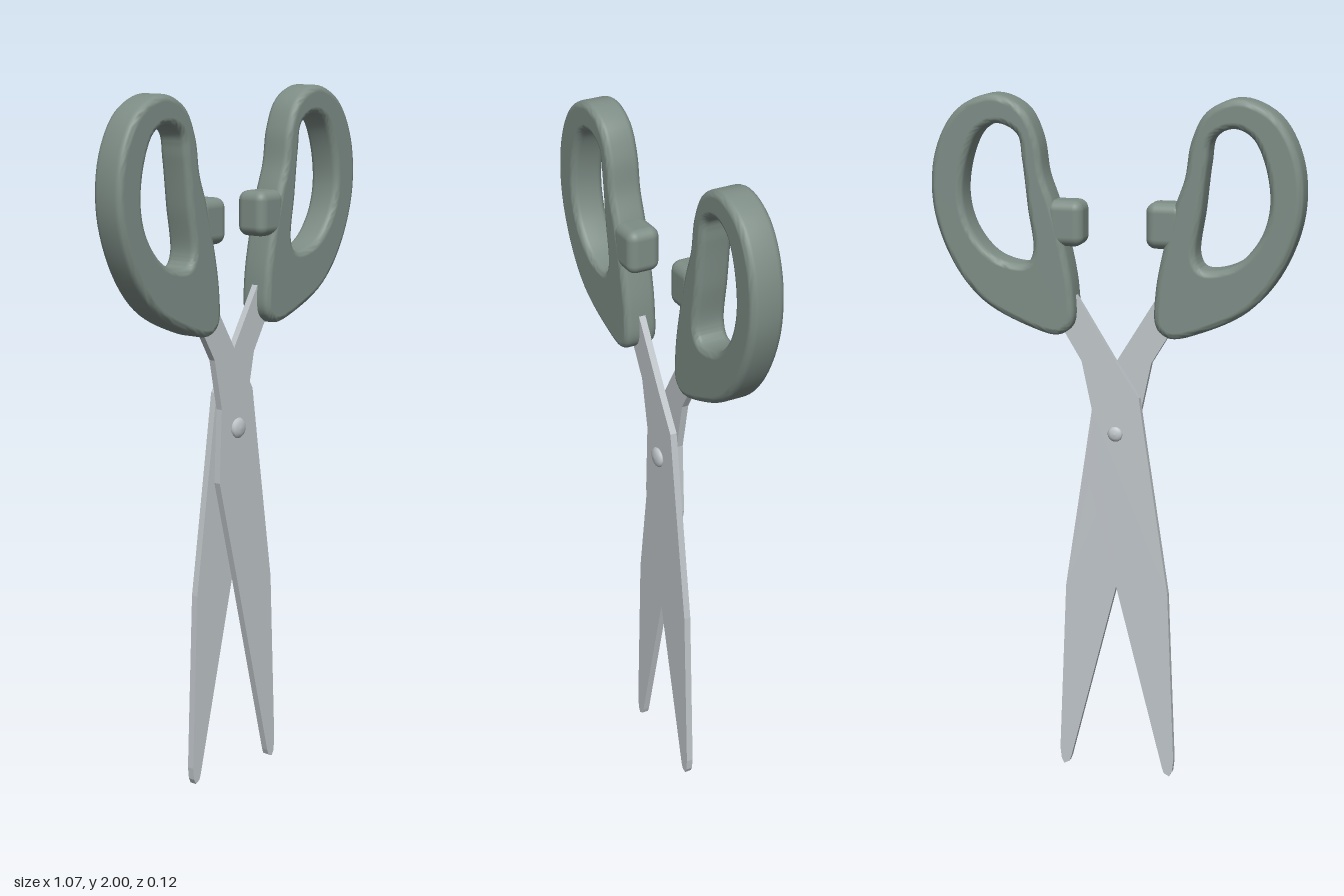
import * as THREE from 'three';
import { toCreasedNormals } from 'three/addons/utils/BufferGeometryUtils.js';
import { RoundedBoxGeometry } from 'three/addons/geometries/RoundedBoxGeometry.js';

const points = (list) => list.map(([x, y]) => new THREE.Vector2(x, y));
// Closed smooth outline through a few points
const smooth = (list) => new THREE.CatmullRomCurve3(list.map(([x, y]) => new THREE.Vector3(x, y, 0)), true)
  .getPoints(90).slice(0, -1).map((p) => new THREE.Vector2(p.x, p.y));

// Handle outline (clockwise) and finger hole (anticlockwise)
const GRIP = [
  [-0.35, 2.0], [-0.26, 1.963], [-0.217, 1.88], [-0.2, 1.78], [-0.172, 1.7], [-0.14, 1.58],
  [-0.117, 1.45], [-0.12, 1.355], [-0.16, 1.325], [-0.254, 1.347], [-0.386, 1.415],
  [-0.476, 1.527], [-0.53, 1.685], [-0.52, 1.84], [-0.455, 1.955],
];
const HOLE = [
  [-0.335, 1.918], [-0.386, 1.897], [-0.423, 1.828], [-0.44, 1.71], [-0.413, 1.616], [-0.345, 1.543],
  [-0.254, 1.527], [-0.234, 1.56], [-0.249, 1.69], [-0.264, 1.82], [-0.278, 1.89],
];
// Blade with its tang, which runs up into the handle
const BLADE = [
  [-0.2, 1.44], [-0.148, 1.325], [-0.1, 1.246], [-0.069, 1.1], [-0.079, 0.886], [0, 0.585],
  [0.143, 0.024], [0.149, 0.008], [0.165, 0], [0.173, 0.015], [0.177, 0.05], [0.156, 0.565],
  [0.095, 0.97], [0.069, 1.146], [0, 1.25], [-0.115, 1.435], [-0.16, 1.5],
];
const GRIP_DEPTH = 0.1;
const GRIP_Z = 0.011;

function gripGeometry() {
  const shape = new THREE.Shape(smooth(GRIP));
  shape.holes.push(new THREE.Path(smooth(HOLE)));
  const bevel = 0.02;
  const extruded = new THREE.ExtrudeGeometry(shape, {
    depth: GRIP_DEPTH - 2 * bevel, bevelThickness: bevel, bevelSize: bevel, bevelOffset: -bevel, bevelSegments: 5,
  });
  extruded.translate(0, 0, bevel - GRIP_DEPTH / 2);
  const geometry = toCreasedNormals(extruded, 0.8);
  // Keep the flat faces flat where they meet the rounded rim
  const { position, normal } = geometry.attributes;
  for (let i = 0; i < position.count; i++) {
    const z = position.getZ(i);
    if (Math.abs(z) > GRIP_DEPTH / 2 - 1e-4) normal.setXYZ(i, 0, 0, Math.sign(z));
  }
  return geometry.translate(0, 0, GRIP_Z);
}

// Domed rivet head standing on the blade, facing +z
function headGeometry(radius, height) {
  const profile = [[radius * 0.9, 0], [radius, height * 0.3], [radius * 0.85, height * 0.65], [radius * 0.5, height * 0.92], [0, height]];
  return new THREE.LatheGeometry(points(profile), 28).rotateX(Math.PI / 2);
}

export function createModel() {
  const steel = new THREE.MeshStandardMaterial({ color: 0xc0c6ca });
  steel.name = 'steel';
  const plastic = new THREE.MeshStandardMaterial({ color: 0x7e8d86 });
  plastic.name = 'greyGreenPlastic';

  const model = new THREE.Group();
  model.name = 'scissors';
  const add = (parent, name, geometry, material) => {
    const mesh = new THREE.Mesh(geometry, material);
    mesh.name = name;
    parent.add(mesh);
    return mesh;
  };

  const grip = gripGeometry();
  const blade = new THREE.ExtrudeGeometry(new THREE.Shape(points(BLADE)), { depth: 0.02, bevelEnabled: false });
  const stop = new RoundedBoxGeometry(0.11, 0.13, GRIP_DEPTH - 0.001, 4, 0.028);

  // The back half is the front half turned about the vertical axis
  ['front', 'back'].forEach((side, i) => {
    const half = new THREE.Group();
    half.name = side + 'Half';
    half.rotation.y = i * Math.PI;
    add(half, side + 'Blade', blade, steel);
    add(half, side + 'Handle', grip, plastic);
    add(half, side + 'Stop', stop, plastic).position.set(-0.143, 1.643, GRIP_Z);
    model.add(half);
  });

  // Rivet
  add(model, 'rivetHead', headGeometry(0.03, 0.016), steel).position.set(0, 1.038, 0.02);
  const tail = add(model, 'rivetTail', headGeometry(0.022, 0.014), steel);
  tail.position.set(0, 1.038, -0.02);
  tail.rotation.y = Math.PI;

  return model;
}
